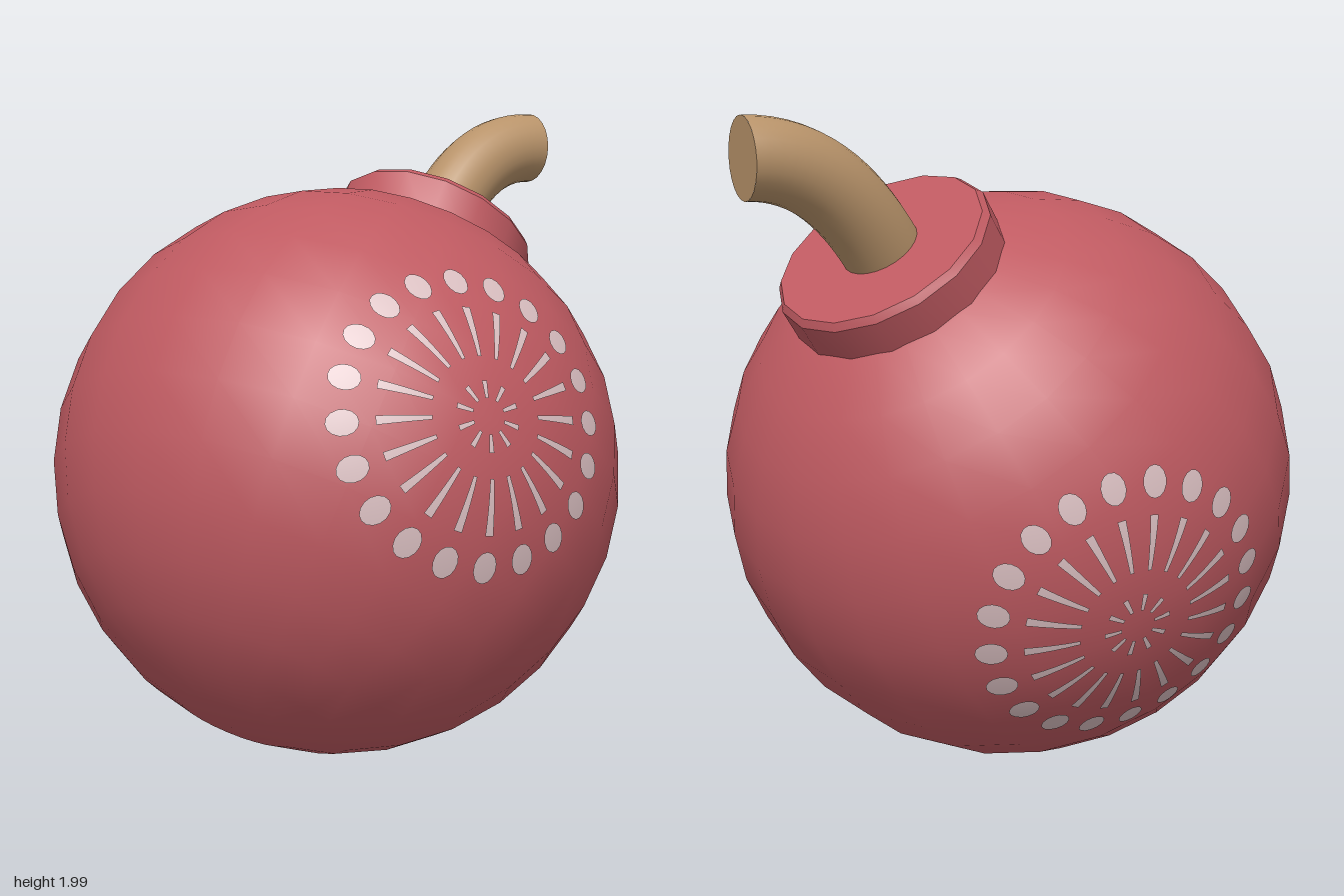
import * as THREE from 'three';
import { mergeGeometries, toCreasedNormals } from 'three/addons/utils/BufferGeometryUtils.js';

const R = 0.874;
const CENTRE = new THREE.Vector3(-0.01, R, 0);
const AXIS = new THREE.Vector3(0.5, 0.8, -0.334).normalize();
const UP = new THREE.Vector3(0, 1, 0);

function material(name, color, side = THREE.FrontSide) {
  const m = new THREE.MeshStandardMaterial({ color, side });
  m.name = name;
  return m;
}

function part(name, geometry, mat) {
  const mesh = new THREE.Mesh(geometry, mat);
  mesh.name = name;
  return mesh;
}

// Flat tapered strip running outwards along +x from r0 to r1
function strip(r0, r1, w0, w1) {
  const g = new THREE.PlaneGeometry(1, 1, 4, 1);
  const p = g.attributes.position;
  for (let i = 0; i < p.count; i++) {
    const t = p.getX(i) + 0.5;
    p.setXY(i, r0 + (r1 - r0) * t, p.getY(i) * (w0 + (w1 - w0) * t));
  }
  return g;
}

// Burst of dots and rays, wrapped on to the ball around +z
function burstGeometry() {
  const pieces = [];
  for (let i = 0; i < 20; i++) {
    const a = THREE.MathUtils.degToRad(86 + i * 18);
    const dot = new THREE.CircleGeometry(1, 14).scale(0.046, 0.038, 1).translate(0.415, 0, 0);
    pieces.push(dot.rotateZ(a), strip(0.17, 0.325, 0.012, 0.026).rotateZ(a));
    if (i % 2 === 0) pieces.push(strip(0.05, 0.1, 0.01, 0.016).rotateZ(a));
  }
  const g = mergeGeometries(pieces);
  const p = g.attributes.position;
  const n = g.attributes.normal;
  for (let i = 0; i < p.count; i++) {
    const r = Math.hypot(p.getX(i), p.getY(i));
    const s = Math.sin(r / R) / r;
    const v = new THREE.Vector3(p.getX(i) * s, p.getY(i) * s, Math.cos(r / R));
    n.setXYZ(i, v.x, v.y, v.z);
    v.multiplyScalar(R + 0.005);
    p.setXYZ(i, v.x, v.y, v.z);
  }
  return g;
}

export function createModel() {
  const group = new THREE.Group();
  group.name = 'roundBomb';
  const red = material('dusty red', 0xbf5a61);
  const tan = material('rope tan', 0xb8936a);
  const pale = material('pale pink', 0xdabfc1, THREE.DoubleSide);

  // Ball and neck share the tilted axis
  const shell = new THREE.Group();
  shell.name = 'shell';
  shell.position.copy(CENTRE);
  shell.quaternion.setFromUnitVectors(UP, AXIS);
  shell.add(part('ball', new THREE.SphereGeometry(R, 24, 16), red));
  const profile = [[0.33, 0.74], [0.33, 0.91], [0.314, 0.93], [0, 0.93]]
    .map(([x, y]) => new THREE.Vector2(x, y));
  shell.add(part('neckCap', toCreasedNormals(new THREE.LatheGeometry(profile, 16), 0.6), red));
  group.add(shell);

  // Bent fuse with a flat end
  const start = CENTRE.clone().addScaledVector(AXIS, 0.9);
  const end = new THREE.Vector3(0.855, 1.876, -0.455);
  const tangent = new THREE.Vector3(0.98, -0.02, -0.19).normalize();
  const path = new THREE.CubicBezierCurve3(
    start,
    start.clone().addScaledVector(AXIS, 0.18),
    end.clone().addScaledVector(tangent, -0.2),
    end
  );
  group.add(part('fuse', new THREE.TubeGeometry(path, 16, 0.115, 24), tan));
  const tip = part('fuseEnd', new THREE.CircleGeometry(0.115, 24), tan);
  tip.position.copy(end);
  tip.quaternion.setFromUnitVectors(new THREE.Vector3(0, 0, 1), tangent);
  group.add(tip);

  // Painted bursts on opposite sides
  const burst = burstGeometry();
  for (const [name, side] of [['frontBurst', 1], ['backBurst', -1]]) {
    const mark = part(name, burst, pale);
    mark.position.copy(CENTRE);
    mark.lookAt(CENTRE.clone().add(new THREE.Vector3(0.135, 0.265, 0.822).multiplyScalar(side)));
    group.add(mark);
  }
  return group;
}
